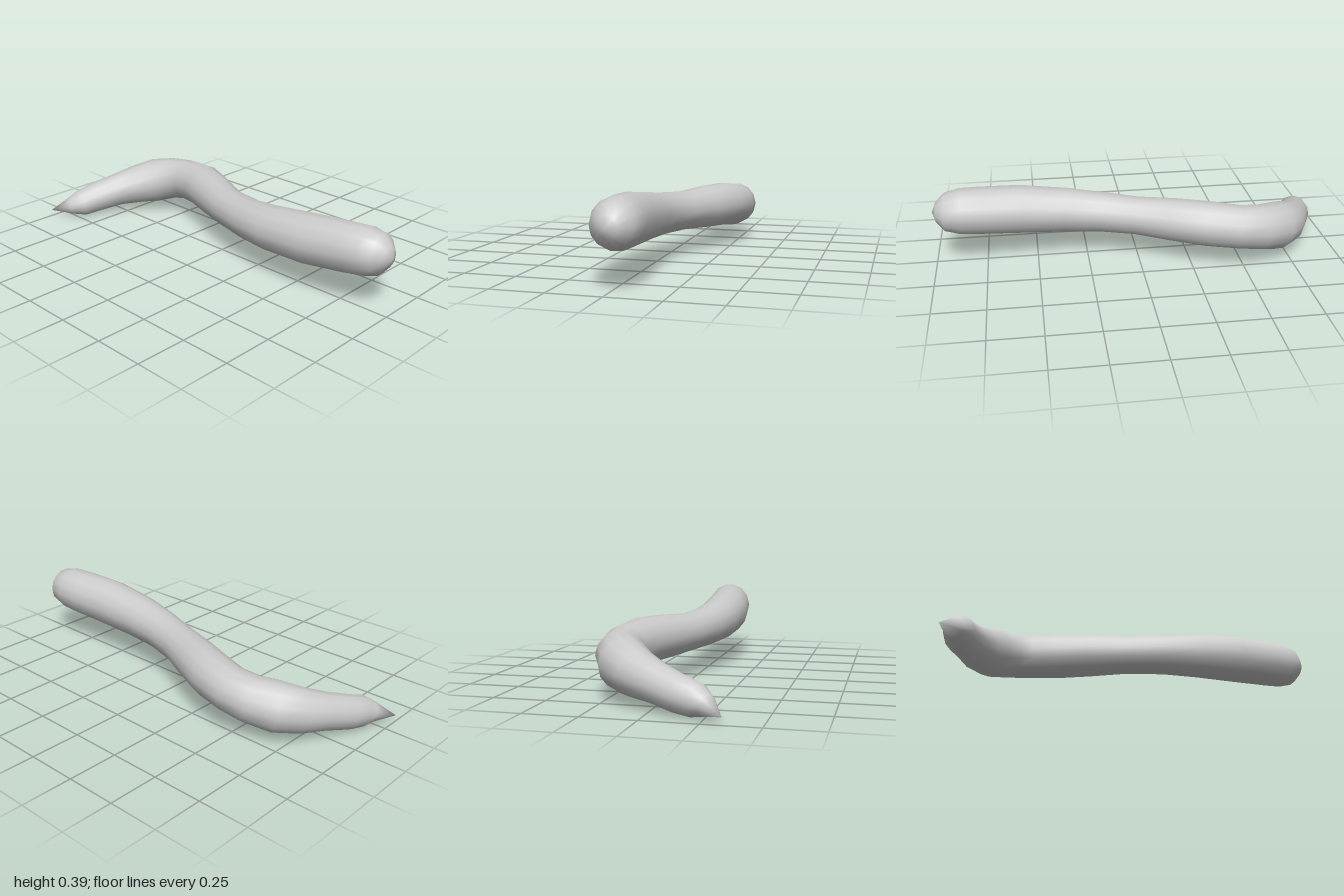
import * as THREE from 'three';

const SIDES = 14;

// Stations from the rounded head to the pointed tail: x, y, z, radius
const STATIONS = [
  [0.015, 0.28, 1.0, 0],
  [0.015, 0.28, 0.982, 0.048],
  [0.017, 0.279, 0.94, 0.095],
  [0.014, 0.277, 0.87, 0.114],
  [0.002, 0.27, 0.78, 0.118],
  [-0.02, 0.255, 0.58, 0.121],
  [-0.018, 0.237, 0.35, 0.111],
  [0.006, 0.226, 0.18, 0.101],
  [0.057, 0.217, 0.0, 0.096],
  [0.128, 0.217, -0.17, 0.107],
  [0.195, 0.215, -0.33, 0.112],
  [0.225, 0.203, -0.47, 0.108],
  [0.212, 0.188, -0.58, 0.112],
  [0.16, 0.166, -0.675, 0.12],
  [0.082, 0.143, -0.75, 0.107],
  [-0.015, 0.121, -0.81, 0.09],
  [-0.13, 0.091, -0.867, 0.082],
  [-0.21, 0.073, -0.892, 0.074],
  [-0.26, 0.06, -0.925, 0.048],
  [-0.34, 0.035, -1.0, 0],
];

// Closed tube of rings set square to the path, with one vertex at each pole
function sweptBody(stations, sides) {
  const centres = stations.map(([x, y, z]) => new THREE.Vector3(x, y, z));
  const last = stations.length - 1;
  const up = new THREE.Vector3(0, 1, 0);
  const positions = [];
  const indices = [];

  centres.forEach((c, i) => {
    if (i === 0 || i === last) {
      positions.push(c.x, c.y, c.z);
      return;
    }
    const tangent = centres[i + 1].clone().sub(centres[i]).normalize()
      .add(centres[i].clone().sub(centres[i - 1]).normalize()).normalize();
    const side = tangent.clone().cross(up).normalize();
    const over = side.clone().cross(tangent);
    const r = stations[i][3];
    for (let j = 0; j < sides; j++) {
      const a = (j / sides) * Math.PI * 2;
      const p = c.clone()
        .addScaledVector(side, r * Math.cos(a))
        .addScaledVector(over, r * Math.sin(a));
      positions.push(p.x, p.y, p.z);
    }
  });

  const at = (i, j) => {
    if (i === 0) return 0;
    if (i === last) return 1 + (last - 1) * sides;
    return 1 + (i - 1) * sides + (j % sides);
  };
  for (let i = 0; i < last; i++) {
    for (let j = 0; j < sides; j++) {
      if (i < last - 1) indices.push(at(i, j), at(i + 1, j), at(i + 1, j + 1));
      if (i > 0) indices.push(at(i, j), at(i + 1, j + 1), at(i, j + 1));
    }
  }

  const geometry = new THREE.BufferGeometry();
  geometry.setAttribute('position', new THREE.Float32BufferAttribute(positions, 3));
  geometry.setIndex(indices);
  geometry.computeVertexNormals();
  return geometry;
}

export function createModel() {
  const group = new THREE.Group();
  group.name = 'worm';

  // Body with rounded head, sideways bend and pointed tail
  const body = new THREE.Mesh(
    sweptBody(STATIONS, SIDES),
    new THREE.MeshStandardMaterial({ color: 0xcccccc })
  );
  body.name = 'wormBody';
  group.add(body);
  return group;
}
